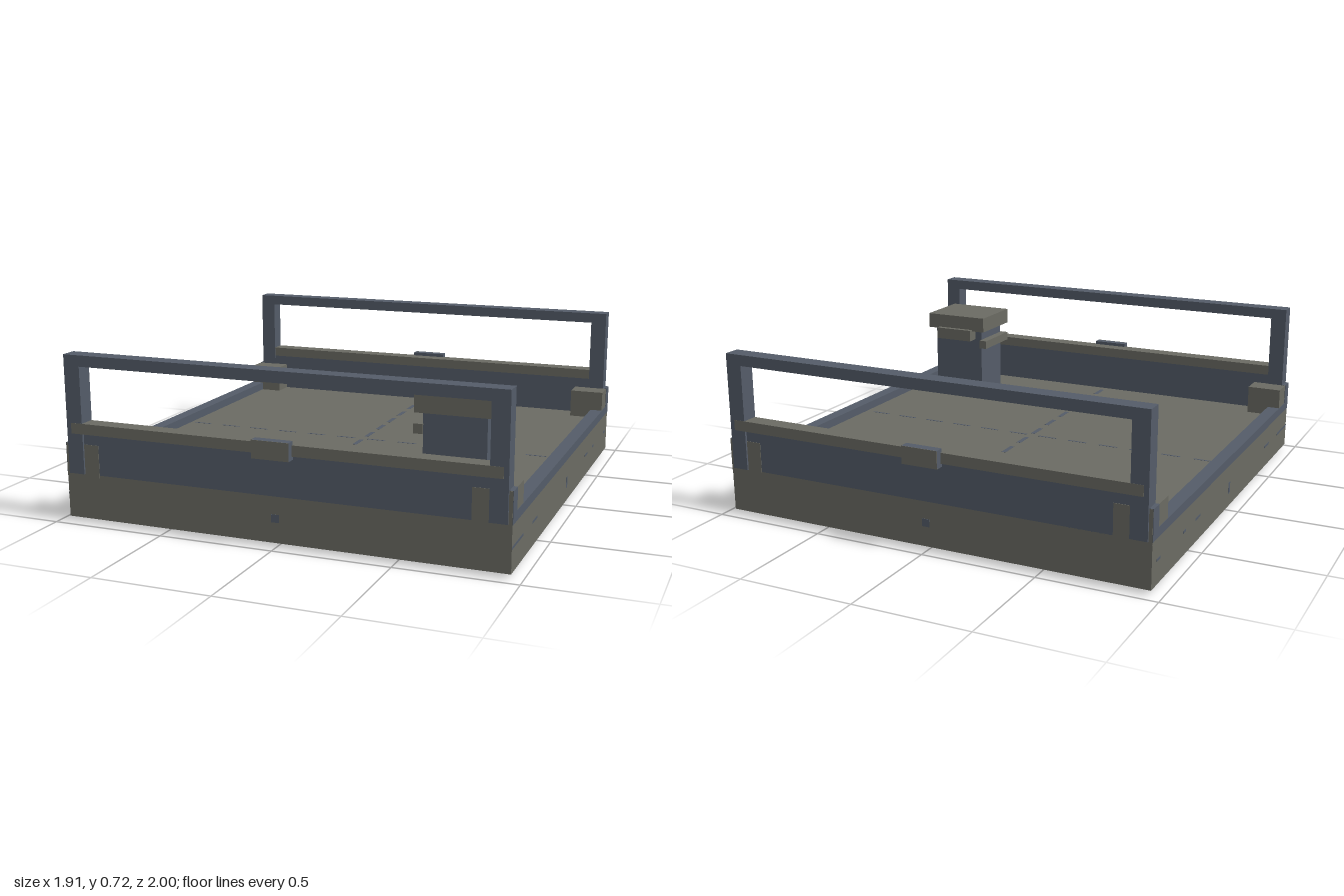
import * as THREE from 'three';

const grey = new THREE.MeshStandardMaterial({ color: 0x6b6b63 });
grey.name = 'warm grey';
const blue = new THREE.MeshStandardMaterial({ color: 0x545c68 });
blue.name = 'slate blue';

// Box given by its extents on each axis
function box(parent, name, mat, [x0, x1], [y0, y1], [z0, z1]) {
  const mesh = new THREE.Mesh(new THREE.BoxGeometry(x1 - x0, y1 - y0, z1 - z0), mat);
  mesh.position.set((x0 + x1) / 2, (y0 + y1) / 2, (z0 + z1) / 2);
  mesh.name = name;
  parent.add(mesh);
  return mesh;
}

// One end of the platform: panel, guard frame, rail and latch, facing +z
function createEnd() {
  const end = new THREE.Group();
  box(end, 'endPanel', blue, [-0.957, 0.957], [0.21, 0.341], [0.9, 0.96]);
  box(end, 'upperPanel', blue, [-0.92, 0.92], [0.34, 0.386], [0.9, 0.96]);
  box(end, 'middleRail', grey, [-0.92, 0.92], [0.385, 0.43], [0.899, 0.971]);
  box(end, 'topRail', blue, [-0.94, 0.94], [0.67, 0.717], [0.897, 0.97]);
  box(end, 'latch', blue, [-0.08, 0.08], [0.37, 0.445], [0.96, 0.998]);
  box(end, 'latchPlate', grey, [-0.08, 0.08], [0.37, 0.445], [0.997, 1.0]);
  box(end, 'endPin', blue, [-0.017, 0.017], [0.105, 0.138], [0.955, 0.962]);
  for (const s of [-1, 1]) {
    const x = s * 0.904, c = s * 0.8775;
    box(end, 'post', blue, [x - 0.036, x + 0.036], [0.213, 0.717], [0.897, 0.97]);
    box(end, 'cornerBlock', grey, [c - 0.0775, c + 0.0775], [0.2, 0.34], [0.8, 0.962]);
  }
  return end;
}

// Control stand with an overhanging head
function createConsole() {
  const stand = new THREE.Group();
  stand.name = 'console';
  box(stand, 'pedestal', blue, [0.53, 0.79], [0.2, 0.55], [0.515, 0.725]);
  box(stand, 'head', grey, [0.5, 0.815], [0.548, 0.62], [0.48, 0.75]);
  box(stand, 'sideHandle', grey, [0.493, 0.531], [0.46, 0.5], [0.495, 0.735]);
  box(stand, 'rearHandle', grey, [0.565, 0.755], [0.5, 0.555], [0.457, 0.516]);
  return stand;
}

export function createModel() {
  const model = new THREE.Group();
  model.name = 'platform';

  // Deck and its recessed foot
  box(model, 'foot', grey, [-0.9, 0.9], [0, 0.03], [-0.9, 0.9]);
  box(model, 'deck', grey, [-0.955, 0.955], [0.02, 0.212], [-0.96, 0.96]);

  // Side curbs and small side pins
  for (const s of [-1, 1]) {
    const x = s * 0.9285;
    box(model, 'sideCurb', blue, [x - 0.0285, x + 0.0285], [0.21, 0.25], [-0.96, 0.96]);
    const p = s * 0.954;
    box(model, 'sidePin', blue, [p - 0.002, p + 0.002], [0.08, 0.13], [-0.012, 0.012]);
    for (const [a, b] of [[0.79, 0.96], [0.56, 0.64], [-0.46, -0.4], [-0.61, -0.58], [-0.91, -0.87]]) {
      box(model, 'sideStreak', blue, [p - 0.002, p + 0.002], [0.115, 0.126], [a, b]);
    }
  }

  // Broken seams crossing the deck
  for (let i = 0; i < 12; i++) {
    const a = -0.88 + i * 0.15;
    box(model, 'longSeam', blue, [-0.01, 0.01], [0.208, 0.2128], [a, a + 0.09]);
    box(model, 'crossSeam', blue, [a, a + 0.09], [0.208, 0.2128], [-0.005, 0.005]);
  }

  // Matching ends
  const front = createEnd();
  front.name = 'frontEnd';
  const back = createEnd();
  back.name = 'backEnd';
  back.rotation.y = Math.PI;
  model.add(front, back, createConsole());
  return model;
}
